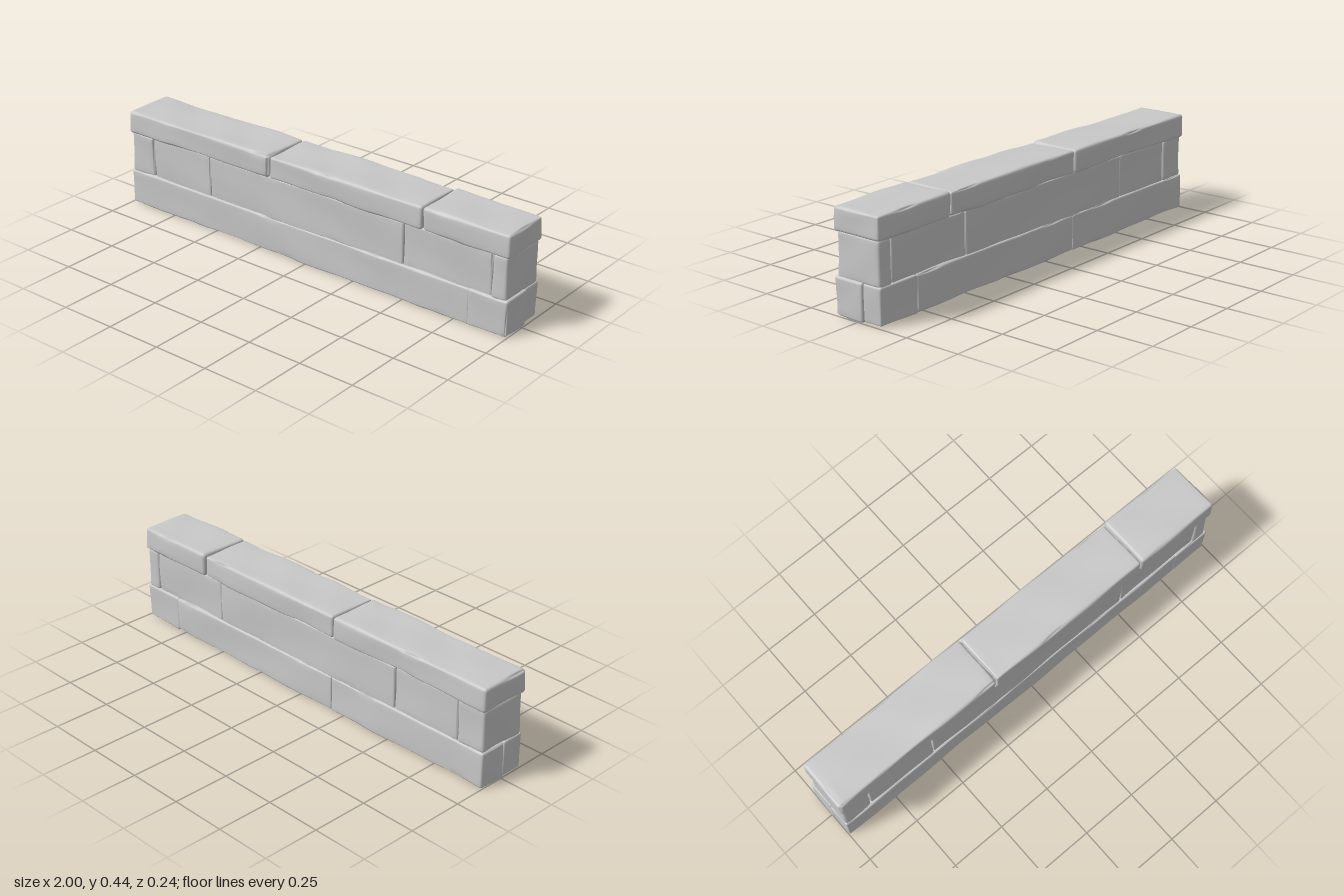
import * as THREE from 'three';
import { mergeVertices } from 'three/addons/utils/BufferGeometryUtils.js';

const stone = new THREE.MeshStandardMaterial({ color: 0xc8c8c8 });
stone.name = 'pale grey stone';

// Smooth waviness, roughly -1..1
const wave = (x, y, z, s) =>
  (Math.sin(x * 9 + s * 1.7 + y * 11) + Math.sin(x * 21 - z * 17 + s * 2.9) * 0.6 +
   Math.sin(y * 26 + z * 23 + x * 5 + s * 4.1) * 0.6) / 2.2;

// Sharp nicks, mostly 0 with short peaks up to 1
const nick = (x, y, z, s) =>
  Math.pow(Math.max(0, Math.sin(x * 17 + y * 9 + s * 3.3) * Math.sin(x * 7.3 + z * 14 + s)), 3);

// Grid line position: two narrow steps through each rounded edge, even steps between
function gridLine(i, n, half, r) {
  if (i <= 2) return -half + r * i / 2;
  if (i >= n - 2) return half - r * (n - i) / 2;
  return -half + r + (2 * half - 2 * r) * (i - 2) / (n - 4);
}

// Worn block between two corners
function wornBlock([x0, x1], [y0, y1], [z0, z1], seed, r = 0.012, rough = 0.004) {
  const size = [x1 - x0, y1 - y0, z1 - z0];
  const mid = [(x0 + x1) / 2, (y0 + y1) / 2, (z0 + z1) / 2];
  const seg = size.map(s => 4 + Math.max(3, Math.round(s / 0.025)));
  let geo = new THREE.BoxGeometry(1, 1, 1, ...seg);
  geo.deleteAttribute('normal');
  geo.deleteAttribute('uv');
  geo = mergeVertices(geo, 1e-5);
  const pos = geo.attributes.position;
  const p = new THREE.Vector3(), inner = new THREE.Vector3(), dir = new THREE.Vector3();
  for (let v = 0; v < pos.count; v++) {
    p.fromBufferAttribute(pos, v);
    for (let a = 0; a < 3; a++) {
      const i = Math.round((p.getComponent(a) + 0.5) * seg[a]);
      const half = size[a] / 2, c = gridLine(i, seg[a], half, r);
      p.setComponent(a, c);
      inner.setComponent(a, THREE.MathUtils.clamp(c, r - half, half - r));
    }
    dir.subVectors(p, inner).normalize();
    p.copy(inner).addScaledVector(dir, r);
    const x = p.x + mid[0], y = p.y + mid[1], z = p.z + mid[2];
    const edge = 1 - Math.max(Math.abs(dir.x), Math.abs(dir.y), Math.abs(dir.z));
    const push = rough * (wave(x, y, z, seed) - 0.3) - edge * 0.04 * nick(x, y, z, seed);
    p.addScaledVector(dir, push);
    pos.setXYZ(v, p.x + mid[0], Math.max(0, p.y + mid[1]), p.z + mid[2]);
  }
  geo.computeVertexNormals();
  return geo;
}

export function createModel() {
  const wall = new THREE.Group();
  wall.name = 'stoneWall';
  let seed = 0;
  const add = (parent, name, x, y, z, r, rough) => {
    const mesh = new THREE.Mesh(wornBlock(x, y, z, ++seed, r, rough), stone);
    mesh.name = name;
    parent.add(mesh);
  };
  const course = name => {
    const g = new THREE.Group();
    g.name = name;
    wall.add(g);
    return g;
  };

  // Solid filling behind the joints
  const core = new THREE.Mesh(new THREE.BoxGeometry(1.94, 0.4, 0.19), stone);
  core.position.y = 0.21;
  core.name = 'core';
  wall.add(core);

  // Bottom course: one long stone in front, two behind, short stones at the +x end
  const bottom = course('bottomCourse');
  const by = [0, 0.16];
  add(bottom, 'frontLongStone', [-1, 0.825], by, [0.01, 0.117], 0.01);
  add(bottom, 'frontEndStone', [0.815, 1], by, [-0.025, 0.117], 0.01);
  add(bottom, 'backStone', [-1, -0.18], by, [-0.117, 0.015], 0.011);
  add(bottom, 'backStone', [-0.185, 0.795], by, [-0.117, 0.015], 0.011);
  add(bottom, 'backEndStone', [0.785, 0.994], by, [-0.117, -0.02], 0.011);

  // Middle course, slightly recessed
  const middle = course('middleCourse');
  const xs = [-0.995, -0.86, -0.53, 0.5, 0.92, 0.99];
  for (let i = 0; i < xs.length - 1; i++) {
    const depth = [0.112, 0.107, 0.11, 0.108, 0.112][i];
    add(middle, 'middleStone', [xs[i] - 0.001, xs[i + 1] + 0.001], [0.15, 0.345], [-depth, depth],
      i === 0 || i === 4 ? 0.016 : 0.01, 0.004);
  }

  // Overhanging capstones
  const top = course('capCourse');
  for (const x of [[-1, -0.193], [-0.192, 0.592], [0.595, 1]])
    add(top, 'capStone', x, [0.337, 0.441], [-0.119, 0.119], 0.014, 0.005);

  return wall;
}
